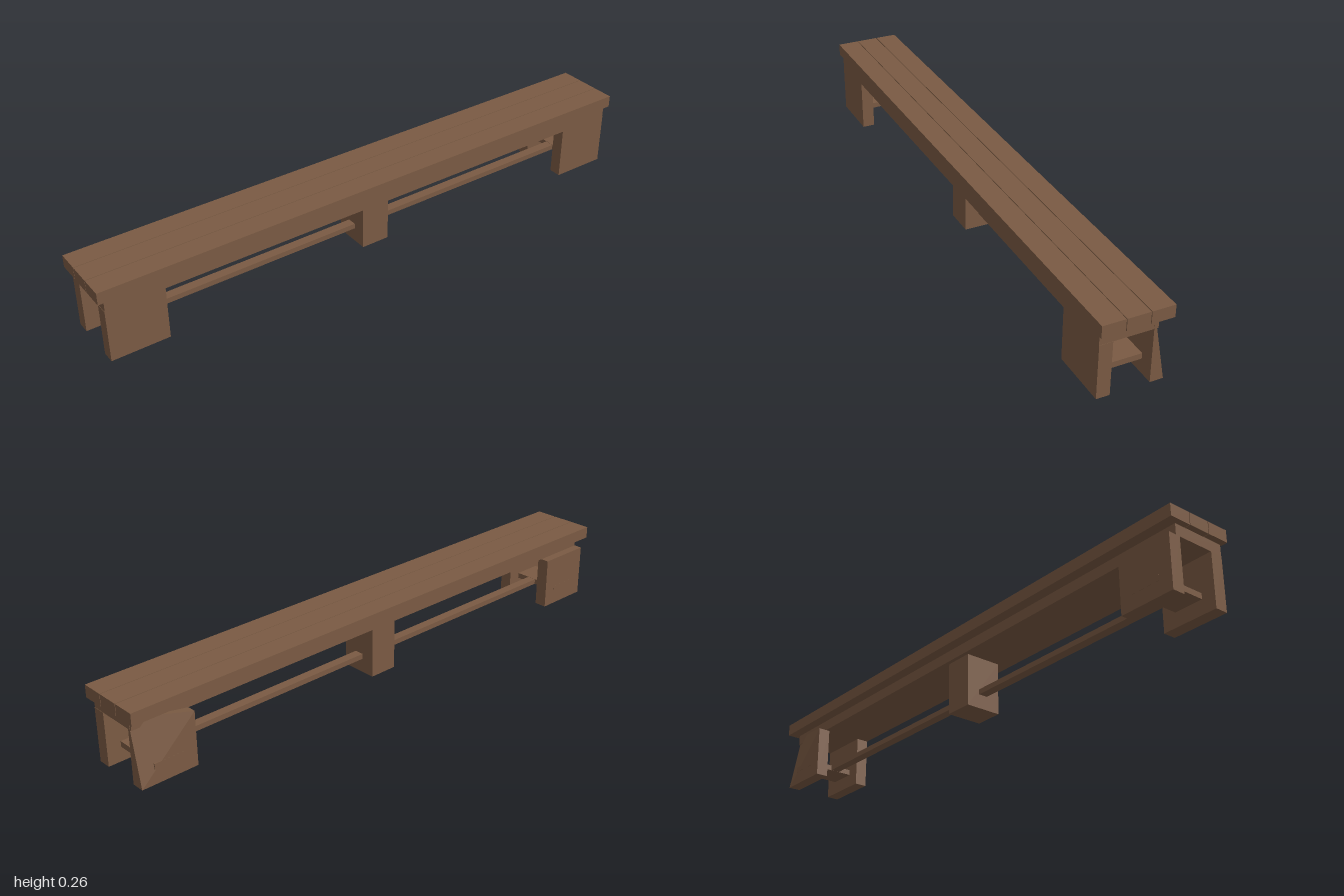
import * as THREE from 'three';

const wood = new THREE.MeshStandardMaterial({ color: 0x7a5a43 });
wood.name = 'brown wood';

// Box given by its lower and upper corners
function block(name, [x0, y0, z0], [x1, y1, z1]) {
  const geometry = new THREE.BoxGeometry(x1 - x0, y1 - y0, z1 - z0);
  geometry.translate((x0 + x1) / 2, (y0 + y1) / 2, (z0 + z1) / 2);
  const mesh = new THREE.Mesh(geometry, wood);
  mesh.name = name;
  return mesh;
}

export function createModel() {
  const table = new THREE.Group();
  table.name = 'longTable';

  // Three long top planks with narrow gaps
  for (const z of [-0.0765, 0, 0.0765]) {
    table.add(block('topPlank', [-1, 0.217, z - 0.0372], [1, 0.258, z + 0.0372]));
  }

  // Supporting slab, reaching slightly into the gaps
  table.add(block('supportSlab', [-0.98, 0.18, -0.077], [0.98, 0.217, 0.107]));
  for (const z of [-0.03825, 0.03825]) {
    table.add(block('gapFiller', [-0.98, 0.217, z - 0.001], [0.98, 0.227, z + 0.001]));
  }

  // Front legs and cross bars at both ends
  for (const side of [-1, 1]) {
    const c = side * 0.884;
    table.add(block('frontLeg', [c - 0.097, 0, 0.064], [c + 0.097, 0.18, 0.107]));
    table.add(block('crossBar', [c - 0.05, 0.048, -0.1065], [c + 0.05, 0.067, 0.1]));
  }

  // Straight back leg
  table.add(block('backLegRight', [-0.981, 0, -0.106], [-0.787, 0.18, -0.063]));

  // Back leg whose outer rear top corner is pulled up and inward
  const skewed = block('backLegLeft', [0.787, 0, -0.106], [0.981, 0.18, -0.063]);
  const geometry = skewed.geometry.toNonIndexed();
  const p = geometry.attributes.position;
  for (let i = 0; i < p.count; i++) {
    if (p.getX(i) > 0.9 && p.getY(i) > 0.1 && p.getZ(i) < -0.09) {
      p.setXYZ(i, p.getX(i), 0.217, -0.065);
    }
  }
  geometry.computeVertexNormals();
  skewed.geometry = geometry;
  table.add(skewed);

  // Centre leg and the long stretcher through it
  table.add(block('centreLeg', [-0.05, 0, -0.063], [0.05, 0.18, 0.064]));
  table.add(block('stretcher', [-0.86, 0.0485, -0.016], [0.86, 0.0665, 0.016]));

  return table;
}
